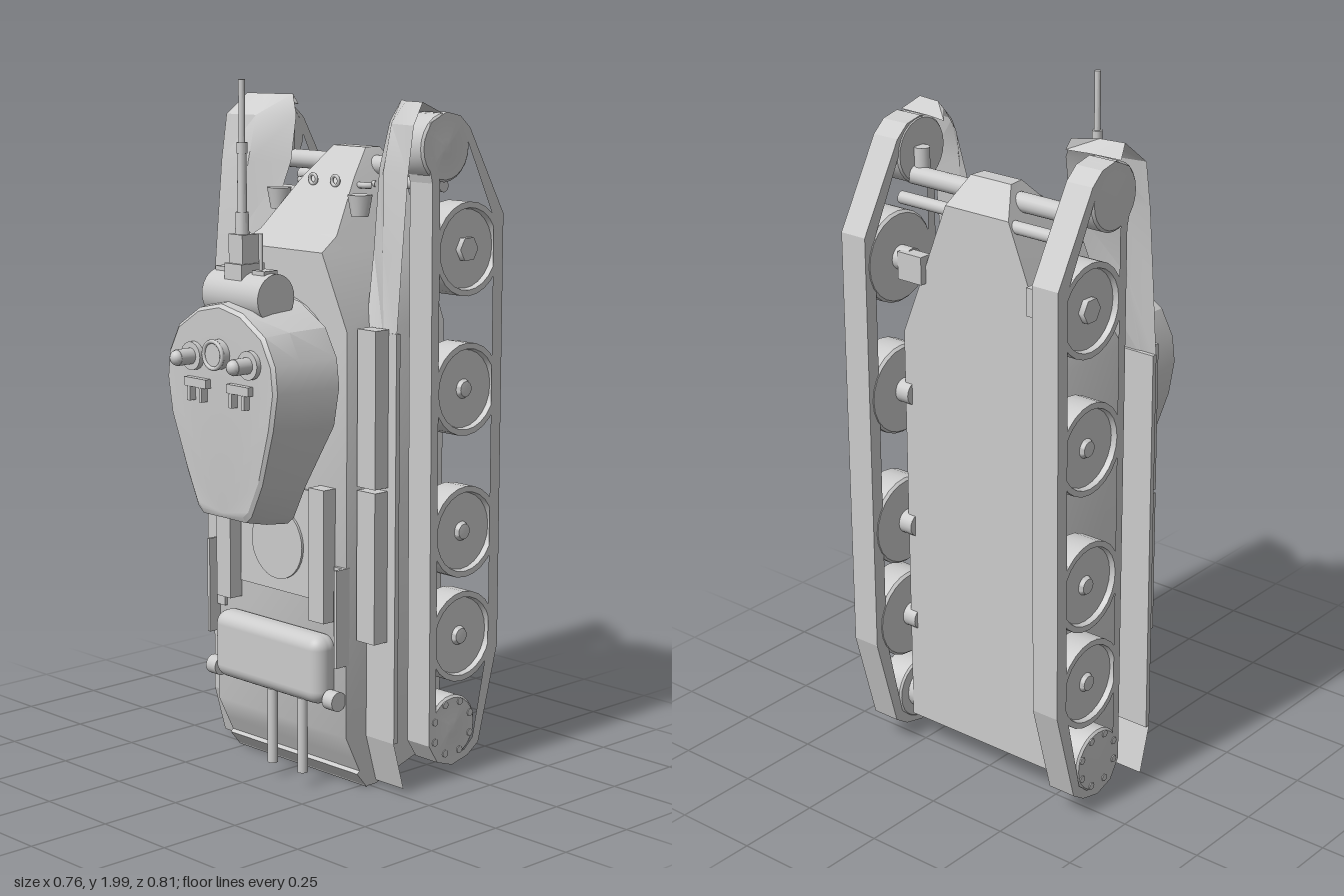
import * as THREE from 'three';
import { toCreasedNormals } from 'three/addons/utils/BufferGeometryUtils.js';
import { RoundedBoxGeometry } from 'three/addons/geometries/RoundedBoxGeometry.js';

const mat = new THREE.MeshStandardMaterial({ color: 0xcccccc });
const thin = new THREE.MeshStandardMaterial({ color: 0xcccccc, side: THREE.DoubleSide });

// Skin between equal-sized rings of points; closed rings get end caps
function loft(rings, closed = true) {
  const n = rings[0].length, index = [];
  for (let k = 0; k < rings.length - 1; k++) {
    for (let i = 0; i < (closed ? n : n - 1); i++) {
      const a = k * n + i, b = k * n + (i + 1) % n;
      index.push(a, b, b + n, a, b + n, a + n);
    }
  }
  if (closed) {
    const e = (rings.length - 1) * n;
    for (let i = 1; i < n - 1; i++) index.push(0, i + 1, i, e, e + i, e + i + 1);
  }
  const g = new THREE.BufferGeometry();
  g.setAttribute('position', new THREE.Float32BufferAttribute(rings.flat(2), 3));
  g.setIndex(index);
  return toCreasedNormals(g, 0.5);
}

export function createModel() {
  const root = new THREE.Group();
  const add = (name, geo, x = 0, y = 0, z = 0, material = mat) => {
    const m = new THREE.Mesh(geo, material);
    m.name = name;
    m.position.set(x, y, z);
    root.add(m);
    return m;
  };
  // Box given by its limits
  const box = (name, x0, x1, y0, y1, z0, z1) =>
    add(name, new THREE.BoxGeometry(Math.abs(x1 - x0), y1 - y0, z1 - z0), (x0 + x1) / 2, (y0 + y1) / 2, (z0 + z1) / 2);
  // Cylinder along a chosen axis
  const rod = (name, axis, r, len, x, y, z, r2 = r, sides = 20) => {
    const m = add(name, new THREE.CylinderGeometry(r2, r, len, sides), x, y, z);
    if (axis === 'x') m.rotation.z = -Math.PI / 2;
    if (axis === 'z') m.rotation.x = Math.PI / 2;
    return m;
  };
  const lathe = pts => toCreasedNormals(new THREE.LatheGeometry(pts.map(p => new THREE.Vector2(...p)), 24), 0.5);

  // Hull: y, half width above, half width below, upper z, lower z
  const hull = [
    [0.01, 0.27, 0.27, 0.02, -0.02], [0.06, 0.27, 0.27, 0.045, -0.18], [0.1, 0.27, 0.27, 0.065, -0.28],
    [0.17, 0.27, 0.27, 0.1, -0.28], [1.32, 0.27, 0.27, 0.1, -0.28], [1.53, 0.17, 0.185, 0.1, -0.28],
    [1.57, 0.155, 0.17, 0.03, -0.28], [1.72, 0.1, 0.11, -0.09, -0.28], [1.8, 0.065, 0.07, -0.17, -0.22],
  ];
  add('hull', loft(hull.map(([y, a, b, t, l]) => [[-a, y, t], [a, y, t], [b, y, l], [-b, y, l]])));
  const lip = box('rearLip', -0.27, 0.27, 0.0, 0.06, 0.015, 0.03);
  lip.rotation.x = 0.7;
  lip.position.set(0, 0.035, 0.03);

  // Engine deck
  box('engineDeck', -0.16, 0.16, 0.55, 0.86, 0.09, 0.108);
  rod('deckHatch', 'z', 0.105, 0.02, 0, 0.69, 0.105, 0.105, 32);
  add('stowageDrum', new RoundedBoxGeometry(0.45, 0.2, 0.09, 4, 0.04), 0, 0.36, 0.122);
  for (const x of [0.015, 0.14]) rod('exhaustPipe', 'y', 0.015, 0.22, x, 0.16, 0.145);

  // Turret: base and roof outlines from one half outline
  const half = [[0, 0.77], [0.1, 0.77], [0.125, 0.79], [0.175, 0.89], [0.235, 1.06], [0.255, 1.17],
    [0.245, 1.25], [0.2, 1.33], [0.1, 1.39], [0, 1.41]];
  const outline = [...half, ...half.slice(1, -1).reverse().map(([x, y]) => [-x, y])];
  const ring = (sx, sy, z) => outline.map(([x, y]) => [x * sx, 1.15 + (y - 1.15) * sy, z(y)]);
  add('turret', loft([
    ring(1, 1, y => (y < 1.0 ? 0.165 : 0.115)),
    ring(0.95, 0.98, () => 0.24),
    ring(0.89, 0.94, y => (y < 0.95 ? 0.31 : 0.318)),
    ring(0.85, 0.9, y => (y < 0.95 ? 0.318 : 0.327)),
  ]));
  rod('turretRing', 'z', 0.235, 0.07, 0, 1.17, 0.13, 0.235, 40);

  // Gun and mantlet
  rod('mantlet', 'x', 0.068, 0.23, 0.005, 1.41, 0.225, 0.068, 28);
  box('gunMount', -0.035, 0.035, 1.44, 1.5, 0.19, 0.275);
  box('gunCradle', -0.028, 0.028, 1.48, 1.58, 0.205, 0.265);
  for (const x of [-0.075, 0.075]) box('mantletLug', x - 0.025, x + 0.025, 1.45, 1.485, 0.2, 0.25);
  rod('sightRod', 'y', 0.006, 0.11, 0.065, 1.53, 0.23);
  add('gunBarrel', lathe([[0, 1.56], [0.02, 1.56], [0.018, 1.64], [0.014, 1.64], [0.012, 1.8],
    [0.015, 1.8], [0.015, 1.83], [0.009, 1.83], [0.009, 2.0], [0, 2.0]]), 0, 0, 0.24);

  // Roof fittings
  const collar = rod('roofHatch', 'z', 0.042, 0.03, 0, 1.255, 0.335);
  collar.name = 'roofHatch';
  add('hatchRim', new THREE.TorusGeometry(0.038, 0.006, 8, 24), 0, 1.255, 0.35);
  for (const x of [-0.105, 0.13]) {
    rod('periscopeBase', 'z', 0.04, 0.016, x, 1.24, 0.333);
    rod('periscopeStem', 'z', 0.023, 0.06, x, 1.24, 0.36);
    add('periscopeCap', new THREE.SphereGeometry(0.022, 16, 10), x, 1.24, 0.388);
  }
  for (const x of [-0.085, 0.09]) {
    box('roofBracket', x - 0.045, x + 0.045, 1.155, 1.18, 0.32, 0.343);
    for (const d of [-0.025, 0.025]) box('bracketHook', x + d - 0.006, x + d + 0.006, 1.115, 1.155, 0.32, 0.345);
  }

  // Track loop in (z, y), drawn as a band
  const outer = [[-0.085, 1.84], [-0.11, 1.885], [-0.17, 1.912], [-0.225, 1.9], [-0.265, 1.865], [-0.405, 1.62],
    [-0.405, 0.37], [-0.33, 0.09], [-0.285, 0.06], [-0.22, 0.045], [-0.16, 0.065], [-0.125, 0.12], [-0.117, 1.72]];
  const inner = [[-0.11, 1.835], [-0.13, 1.87], [-0.17, 1.89], [-0.215, 1.88], [-0.245, 1.85], [-0.365, 1.61],
    [-0.365, 0.38], [-0.305, 0.11], [-0.27, 0.08], [-0.22, 0.07], [-0.175, 0.085], [-0.152, 0.13], [-0.147, 1.72]];
  const v2 = p => new THREE.Vector2(-p[0], p[1]);
  const band = new THREE.Shape(outer.map(v2));
  band.holes.push(new THREE.Path(inner.map(v2)));
  const trackGeo = new THREE.ExtrudeGeometry(band, { depth: 0.086, bevelEnabled: false });
  trackGeo.translate(0, 0, -0.043).rotateY(Math.PI / 2);

  const wheelGeo = lathe([[0, 0], [0.125, 0], [0.132, 0.008], [0.132, 0.088], [0.115, 0.088], [0.111, 0.072],
    [0.028, 0.072], [0.022, 0.084], [0, 0.086]]);
  const discGeo = lathe([[0, 0], [0.09, 0], [0.095, 0.006], [0.095, 0.083], [0.088, 0.089], [0.02, 0.089], [0, 0.091]]);

  for (const s of [1, -1]) {
    // Running gear
    add('track', trackGeo, s * 0.335, 0, 0);
    [[1.53, -0.265], [1.135, -0.265], [0.725, -0.265], [0.42, -0.258]].forEach(([y, z], i) => {
      add('roadWheel', wheelGeo, s * 0.29, y, z).rotation.z = -s * Math.PI / 2;
      rod('wheelAxle', 'x', 0.035, 0.06, s * 0.275, y, z);
      if (i === 0) rod('wheelHub', 'x', 0.036, 0.02, s * 0.37, y, z, 0.036, 6);
    });
    add('idler', discGeo, s * 0.289, 1.815, -0.17).rotation.z = -s * Math.PI / 2;
    add('sprocket', discGeo, s * 0.289, 0.157, -0.22).rotation.z = -s * Math.PI / 2;
    rod('finalDrive', 'x', 0.06, 0.06, s * 0.27, 0.157, -0.22);
    for (let i = 0; i < 8; i++) {
      const a = (i + 0.5) * Math.PI / 4;
      rod('sprocketBolt', 'x', 0.011, 0.01, s * 0.376, 0.157 + 0.078 * Math.cos(a), -0.22 + 0.078 * Math.sin(a), 0.011, 8);
    }
    rod('idlerAxle', 'x', 0.027, 0.22, s * 0.19, 1.75, -0.197);
    rod('tensioner', 'x', 0.018, 0.18, s * 0.2, 1.7, -0.255);
    rod('idlerArm', 'y', 0.022, 0.09, s * 0.275, 1.785, -0.185);
    box('damper', s * 0.185, s * 0.27, 1.48, 1.56, -0.3, -0.26);

    // Fenders, side boxes and mudguards
    box('fender', s * 0.26, s * 0.38, 0.16, 1.32, 0.005, 0.02);
    add('rearFlap', loft([
      [[s * 0.26, 0.16, 0.02], [s * 0.38, 0.16, 0.02]],
      [[s * 0.26, 0.02, -0.02], [s * 0.38, 0.02, -0.02]],
    ], false), 0, 0, 0, thin);
    box('sideBox', s * 0.28, s * 0.35, 0.45, 0.88, 0.02, 0.07);
    box('sideBox', s * 0.28, s * 0.35, 0.89, 1.33, 0.02, 0.07);
    const guard = [ // y, then x and z of outer, middle and inner edge
      [1.3, 0.38, 0.02, 0.33, 0.02, 0.26, 0.02], [1.53, 0.38, 0, 0.3, -0.005, 0.22, -0.05],
      [1.75, 0.38, -0.02, 0.275, -0.03, 0.18, -0.11], [1.88, 0.38, -0.04, 0.275, -0.06, 0.19, -0.14],
      [1.94, 0.355, -0.1, 0.28, -0.11, 0.22, -0.155], [1.91, 0.38, -0.15, 0.28, -0.155, 0.21, -0.167],
    ];
    add('mudguard', loft(guard.map(([y, a, b, c, d, e, f]) =>
      [[s * a, y, b], [s * c, y, d], [s * e, y, f]]), false), 0, 0, 0, thin);

    // Deck side fittings
    box('deckBox', s * 0.23, s * 0.27, 0.46, 0.66, 0.09, 0.11);
    box('deckRail', s * 0.262, s * 0.272, 0.38, 0.66, 0.09, 0.14);
    box('deckStrip', s * 0.165, s * 0.225, 0.5, 0.88, 0.09, 0.145);
    rod('drumStrap', 'x', 0.028, 0.04, s * 0.247, 0.28, 0.125);

    // Headlamp, lifting eye and tow hook
    rod('headlamp', 'y', 0.025, 0.06, s * 0.165, 1.65, -0.05, 0.036, 12);
    rod('headlampStalk', 'x', 0.01, 0.09, s * 0.125, 1.635, -0.06);
    add('liftingEye', new THREE.TorusGeometry(0.014, 0.005, 8, 16), s * 0.045, 1.71, -0.07);
    const hook = add('towHook', new THREE.TorusGeometry(0.03, 0.009, 8, 16, Math.PI * 1.3), s * 0.12, 1.7, -0.13);
    hook.rotation.set(Math.PI / 2, 0, s * 0.6);
  }
  return root;
}
